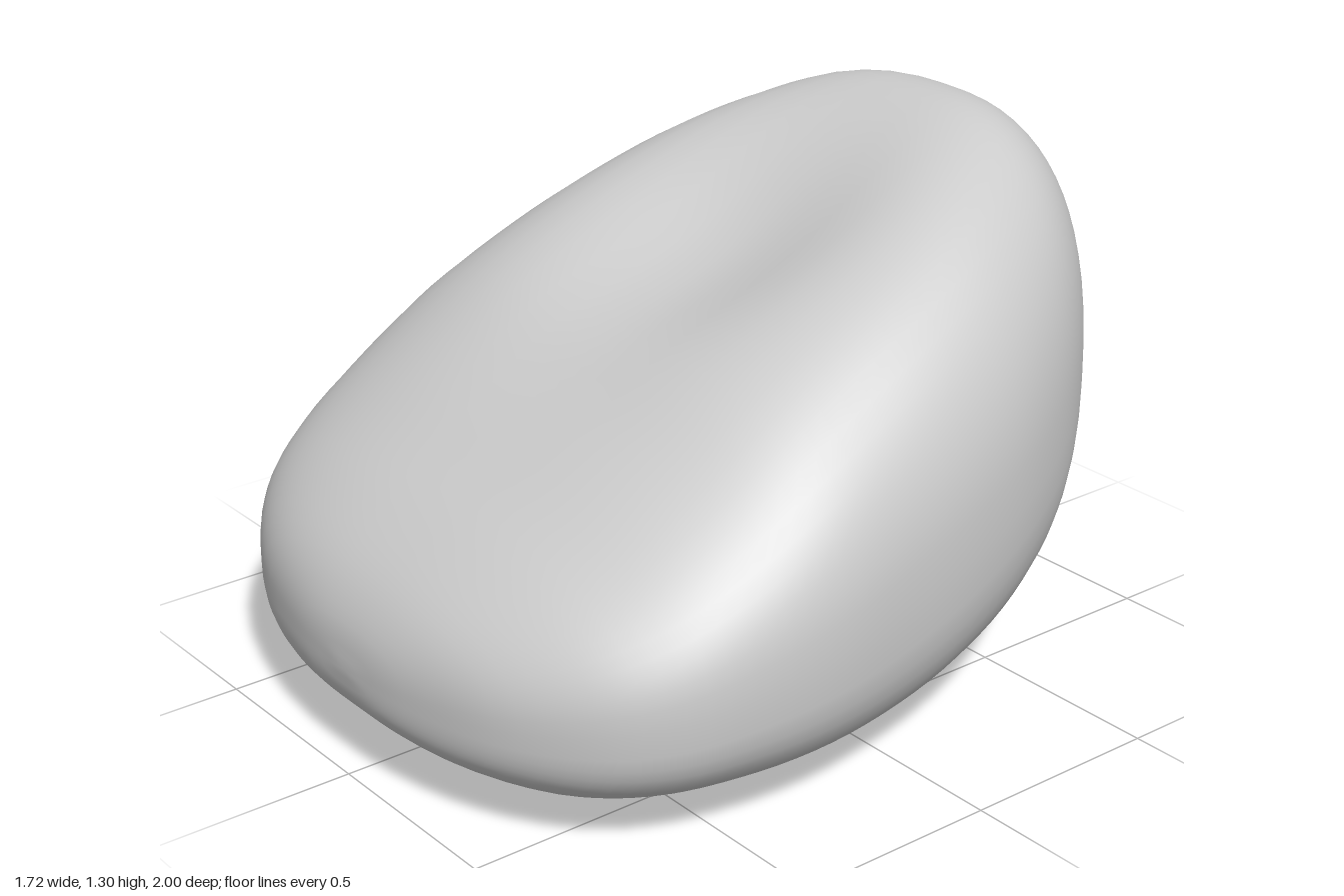
import * as THREE from 'three';

// Cross-sections from back to front: z, top, bottom, half width, height of widest point
const SECTIONS = [
  [-1.00, 0.78, 0.78, 0.00, 0.78],
  [-0.985, 0.96, 0.59, 0.17, 0.77],
  [-0.92, 1.13, 0.40, 0.32, 0.74],
  [-0.82, 1.26, 0.23, 0.46, 0.70],
  [-0.70, 1.315, 0.125, 0.575, 0.66],
  [-0.55, 1.305, 0.05, 0.675, 0.61],
  [-0.36, 1.255, 0.015, 0.76, 0.56],
  [-0.15, 1.17, 0.003, 0.815, 0.51],
  [0.07, 1.07, 0.003, 0.845, 0.46],
  [0.28, 0.955, 0.012, 0.86, 0.42],
  [0.47, 0.82, 0.025, 0.84, 0.385],
  [0.65, 0.69, 0.043, 0.785, 0.35],
  [0.80, 0.585, 0.073, 0.67, 0.32],
  [0.92, 0.48, 0.125, 0.47, 0.295],
  [0.983, 0.375, 0.185, 0.22, 0.28],
  [1.00, 0.27, 0.27, 0.00, 0.27],
];
const RINGS = 60, SIDES = 64;

// Uniform splines share the same parameter, so both give the same z
const spline = (a, b) => new THREE.CatmullRomCurve3(
  SECTIONS.map(s => new THREE.Vector3(s[0], s[a], s[b])), false, 'catmullrom', 0.5);

// Rounded cross-section coordinate: a power above 2 squares the curve off
const bulge = (v, n) => Math.sign(v) * Math.abs(v) ** (2 / n);

function beanbagGeometry() {
  const heights = spline(1, 2), widths = spline(3, 4);
  const positions = [0, 0.78, -1], index = [];

  for (let i = 1; i < RINGS; i++) {
    const { x: z, y: top, z: bottom } = heights.getPoint(i / RINGS);
    const { y: half, z: mid } = widths.getPoint(i / RINGS);
    const hollow = Math.exp(-(((z + 0.08) / 0.42) ** 2));
    const lowerPower = 2.4 + 0.6 * THREE.MathUtils.smoothstep(z, -0.6, 0.2);
    for (let j = 0; j < SIDES; j++) {
      const a = (j / SIDES) * Math.PI * 2;
      const c = Math.cos(a), s = Math.sin(a);
      const n = s >= 0 ? 2.45 : lowerPower;
      const x = half * bulge(c, n);
      let y = mid + bulge(s, n) * (s >= 0 ? top - mid : mid - bottom);
      // Sunken seat between slightly raised sides
      if (s > 0) y += hollow * s * (0.03 - 0.17 * Math.exp(-((x / 0.36) ** 2)));
      positions.push(x, y, z);
    }
  }
  positions.push(0, 0.27, 1);
  const last = positions.length / 3 - 1;

  const at = (i, j) => 1 + i * SIDES + (j % SIDES);
  for (let j = 0; j < SIDES; j++) {
    index.push(0, at(0, j + 1), at(0, j));
    for (let i = 0; i < RINGS - 2; i++) {
      const a = at(i, j), b = at(i, j + 1), c = at(i + 1, j), d = at(i + 1, j + 1);
      index.push(a, b, c, b, d, c);
    }
    index.push(at(RINGS - 2, j), at(RINGS - 2, j + 1), last);
  }

  const geometry = new THREE.BufferGeometry();
  geometry.setAttribute('position', new THREE.Float32BufferAttribute(positions, 3));
  geometry.setIndex(index);
  geometry.computeVertexNormals();
  return geometry;
}

export function createModel() {
  const group = new THREE.Group();
  group.name = 'beanbagChair';
  const cushion = new THREE.Mesh(
    beanbagGeometry(), new THREE.MeshStandardMaterial({ color: 0xcccccc }));
  cushion.name = 'cushion';
  group.add(cushion);
  return group;
}
